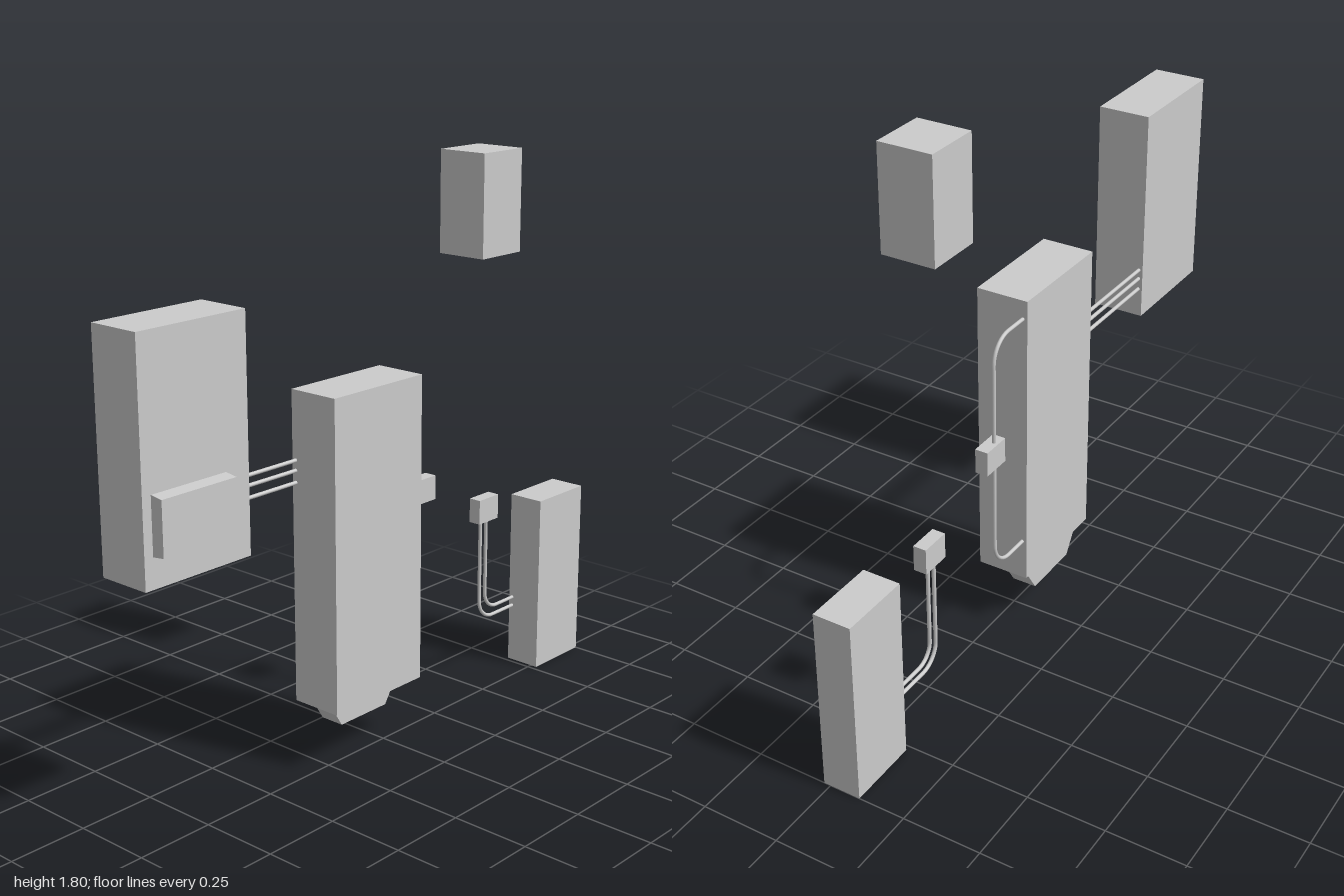
import * as THREE from 'three';

const material = new THREE.MeshStandardMaterial({ color: 0xcccccc });

function addMesh(group, name, geometry) {
  const mesh = new THREE.Mesh(geometry, material);
  mesh.name = name;
  group.add(mesh);
  return mesh;
}

// Box given by its limits on each axis
function addBox(group, name, [x0, x1], [y0, y1], [z0, z1]) {
  const mesh = addMesh(group, name, new THREE.BoxGeometry(x1 - x0, y1 - y0, z1 - z0));
  mesh.position.set((x0 + x1) / 2, (y0 + y1) / 2, (z0 + z1) / 2);
  return mesh;
}

// Pipe through points [x, y] at depth z, with rounded corners
function addPipe(group, name, points, z, bend = 0.08, radius = 0.006) {
  const pts = points.map(([x, y]) => new THREE.Vector3(x, y, z));
  const path = new THREE.CurvePath();
  let from = pts[0];
  for (let i = 1; i < pts.length - 1; i++) {
    const toward = (p) => pts[i].clone().add(p.clone().sub(pts[i]).setLength(bend));
    const start = toward(pts[i - 1]);
    const end = toward(pts[i + 1]);
    // Cubic handles approximating a quarter circle
    const h1 = start.clone().lerp(pts[i], 0.55);
    const h2 = end.clone().lerp(pts[i], 0.55);
    path.add(new THREE.LineCurve3(from, start));
    path.add(new THREE.CubicBezierCurve3(start, h1, h2, end));
    from = end;
  }
  path.add(new THREE.LineCurve3(from, pts[pts.length - 1]));
  addMesh(group, name, new THREE.TubeGeometry(path, points.length > 2 ? 80 : 1, radius, 10));
}

export function createModel() {
  const model = new THREE.Group();
  model.name = 'wallUnits';
  const deep = [-0.105, 0.065];

  // Large cabinets
  addBox(model, 'sideCabinet', [-1, -0.62], [0.795, 1.487], deep);
  addBox(model, 'mainCabinet', [-0.28, 0.1], [0.195, 1.172], deep);
  addBox(model, 'upperBox', [0.382, 0.565], [1.477, 1.797], deep);
  addBox(model, 'lowerCabinet', [0.767, 1], [0, 0.6], [-0.1, 0.022]);

  // Control panel, slightly tapered towards its front
  const panel = addBox(model, 'controlPanel', [-0.97, -0.705], [0.885, 1.055], [0.065, 0.106]);
  const pos = panel.geometry.attributes.position;
  for (let i = 0; i < pos.count; i++) {
    if (pos.getZ(i) > 0) pos.setY(i, pos.getY(i) * 0.94);
  }
  panel.geometry.computeVertexNormals();

  // Tapered outlet under the main cabinet
  const outlet = new THREE.Shape([
    [-0.235, 0.195], [-0.18, 0.107], [0.02, 0.107], [0.077, 0.195],
  ].map(([x, y]) => new THREE.Vector2(x, y)));
  addMesh(model, 'outlet', new THREE.ExtrudeGeometry(outlet, { depth: 0.08, bevelEnabled: false }))
    .position.z = -0.09;

  // Straight pipes between the two large cabinets
  [0.959, 0.928, 0.891].forEach((y, i) => {
    addPipe(model, `straightPipe${i + 1}`, [[-0.63, y], [-0.27, y]], -0.092);
  });

  // Looped pipe with its junction box
  addPipe(model, 'loopPipe', [[0.09, 1.112], [0.26, 1.112], [0.26, 0.331], [0.09, 0.331]], -0.09);
  addBox(model, 'loopJunction', [0.223, 0.32], [0.7, 0.779], [-0.105, -0.063]);

  // Pair of bent pipes with their junction box
  addPipe(model, 'outerBentPipe', [[0.584, 0.56], [0.584, 0.2], [0.775, 0.2]], -0.088, 0.07);
  addPipe(model, 'innerBentPipe', [[0.614, 0.56], [0.614, 0.23], [0.775, 0.23]], -0.088, 0.06);
  addBox(model, 'bentPipeJunction', [0.548, 0.645], [0.555, 0.637], [-0.105, -0.063]);

  return model;
}
